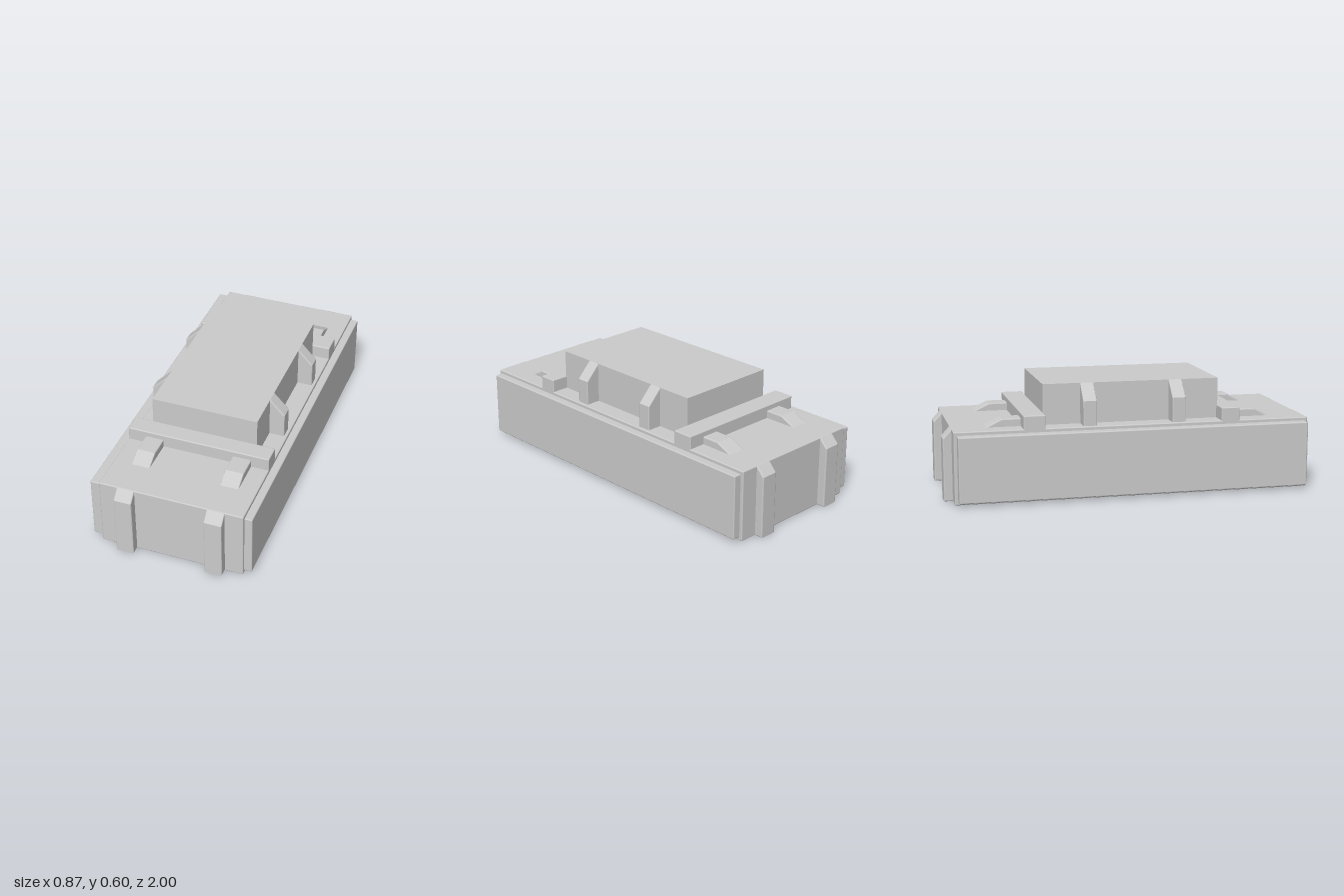
import * as THREE from 'three';
import { RoundedBoxGeometry } from 'three/addons/geometries/RoundedBoxGeometry.js';

const material = new THREE.MeshStandardMaterial({ color: 0xcccccc });

function add(group, name, geometry) {
  const mesh = new THREE.Mesh(geometry, material);
  mesh.name = name;
  group.add(mesh);
  return mesh;
}

// Softly bevelled box given by its limits on each axis
function box(group, name, [x0, x1], [y0, y1], [z0, z1], radius) {
  const size = [x1 - x0, y1 - y0, z1 - z0];
  const geometry = radius
    ? new RoundedBoxGeometry(...size, 2, radius)
    : new THREE.BoxGeometry(...size);
  geometry.translate((x0 + x1) / 2, (y0 + y1) / 2, (z0 + z1) / 2);
  return add(group, name, geometry);
}

// Bevelled prism: profile in x/y, thickness centred on z
function prism(points, thickness, bevel = 0.006) {
  const shape = new THREE.Shape(points.map(([x, y]) => new THREE.Vector2(x, y)));
  const geometry = new THREE.ExtrudeGeometry(shape, {
    depth: thickness - 2 * bevel,
    bevelEnabled: true,
    bevelSize: bevel,
    bevelThickness: bevel,
    bevelOffset: -bevel,
    bevelSegments: 2,
  });
  return geometry.translate(0, 0, -thickness / 2 + bevel);
}

export function createModel() {
  const model = new THREE.Group();
  model.name = 'case';

  // Main body with a slightly smaller panel along each side
  const width = [-0.38, 0.392];
  box(model, 'body', width, [0.003, 0.385], [-0.955, 0.95], 0.006);
  box(model, 'sidePanelRight', [-0.435, -0.36], [0.021, 0.367], [-0.938, 0.934], 0.006);
  box(model, 'sidePanelLeft', [0.37, 0.433], [0.021, 0.367], [-0.938, 0.934], 0.006);

  // Raised block on the deck and the bars across its two ends
  box(model, 'topBlock', [-0.28, 0.295], [0.37, 0.6], [-0.477, 0.473]);
  box(model, 'crossbarFront', width, [0.37, 0.455], [0.468, 0.568], 0.006);
  box(model, 'crossbarBack', width, [0.37, 0.455], [-0.594, -0.479], 0.006);

  // Chamfered buttresses on the sides of the block
  for (const [side, inner, outer] of [[1, 0.295, 0.376], [-1, 0.28, 0.364]]) {
    const profile = [
      [inner - 0.03, 0.37], [outer, 0.37], [outer, 0.516],
      [inner, 0.6], [inner - 0.03, 0.6],
    ].map(([x, y]) => [side * x, y]);
    for (const z of [0.238, -0.241]) {
      add(model, 'buttress', prism(profile, 0.073)).position.z = z;
    }
  }

  // Vertical end ribs and the sloping deck wedges behind them
  const ends = [
    { turn: -Math.PI / 2, face: 0.95, tip: 0.997, bar: 0.568, crest: 0.682, toe: 0.757 },
    { turn: Math.PI / 2, face: 0.955, tip: 1.0, bar: 0.594, crest: 0.692, toe: 0.778 },
  ];
  for (const { turn, face, tip, bar, crest, toe } of ends) {
    const ribProfile = [
      [face - 0.04, 0.003], [tip, 0.003], [tip, 0.335], [face, 0.384], [face - 0.04, 0.384],
    ];
    const wedgeProfile = [
      [bar - 0.02, 0.375], [toe + 0.012, 0.375], [toe, 0.386], [crest, 0.426], [bar - 0.02, 0.426],
    ];
    for (const x of [-0.234, 0.247]) {
      add(model, 'endRib', prism(ribProfile, 0.095).rotateY(turn)).position.x = x;
      add(model, 'deckWedge', prism(wedgeProfile, 0.1).rotateY(turn)).position.x = x;
    }
  }

  return model;
}
